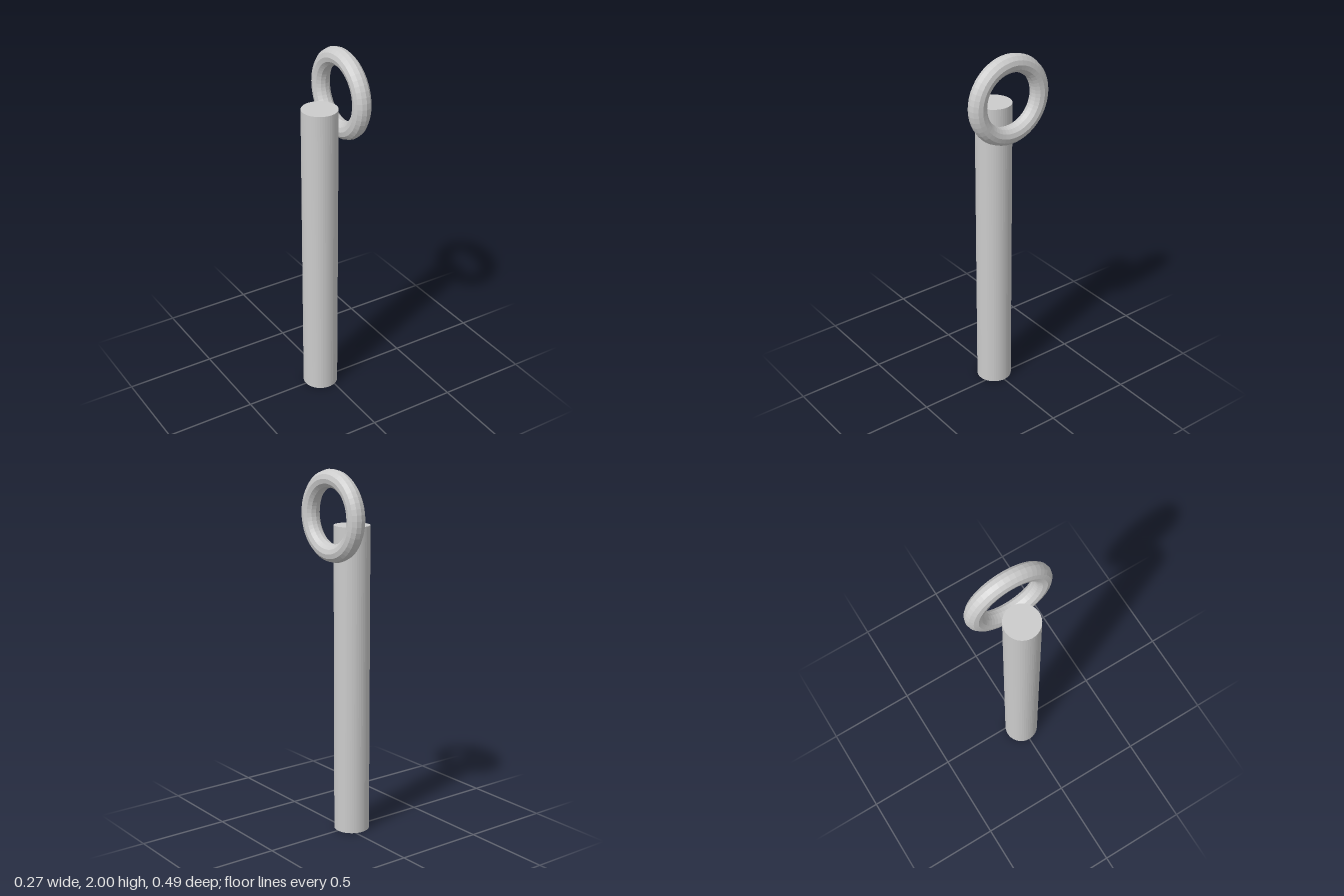
import * as THREE from 'three';

export function createModel() {
  const group = new THREE.Group();
  const material = new THREE.MeshStandardMaterial({ color: 0xcccccc, flatShading: true });
  const add = (name, geometry, x, y) => {
    const mesh = new THREE.Mesh(geometry, material);
    mesh.name = name;
    mesh.position.set(x, y, 0);
    group.add(mesh);
    return mesh;
  };

  // Straight round shaft standing on the ground
  const radius = 0.097, height = 1.7;
  add('shaft', new THREE.CylinderGeometry(radius, radius, height, 48), -0.039, height / 2);

  // Upright pull ring, sunk slightly into the left side of the shaft
  const tube = 0.0485, ringRadius = 0.1945;
  const ring = add('pullRing', new THREE.TorusGeometry(ringRadius, tube, 12, 48), 0.0875, 2 - ringRadius - tube);
  ring.rotation.y = Math.PI / 2;

  return group;
}
